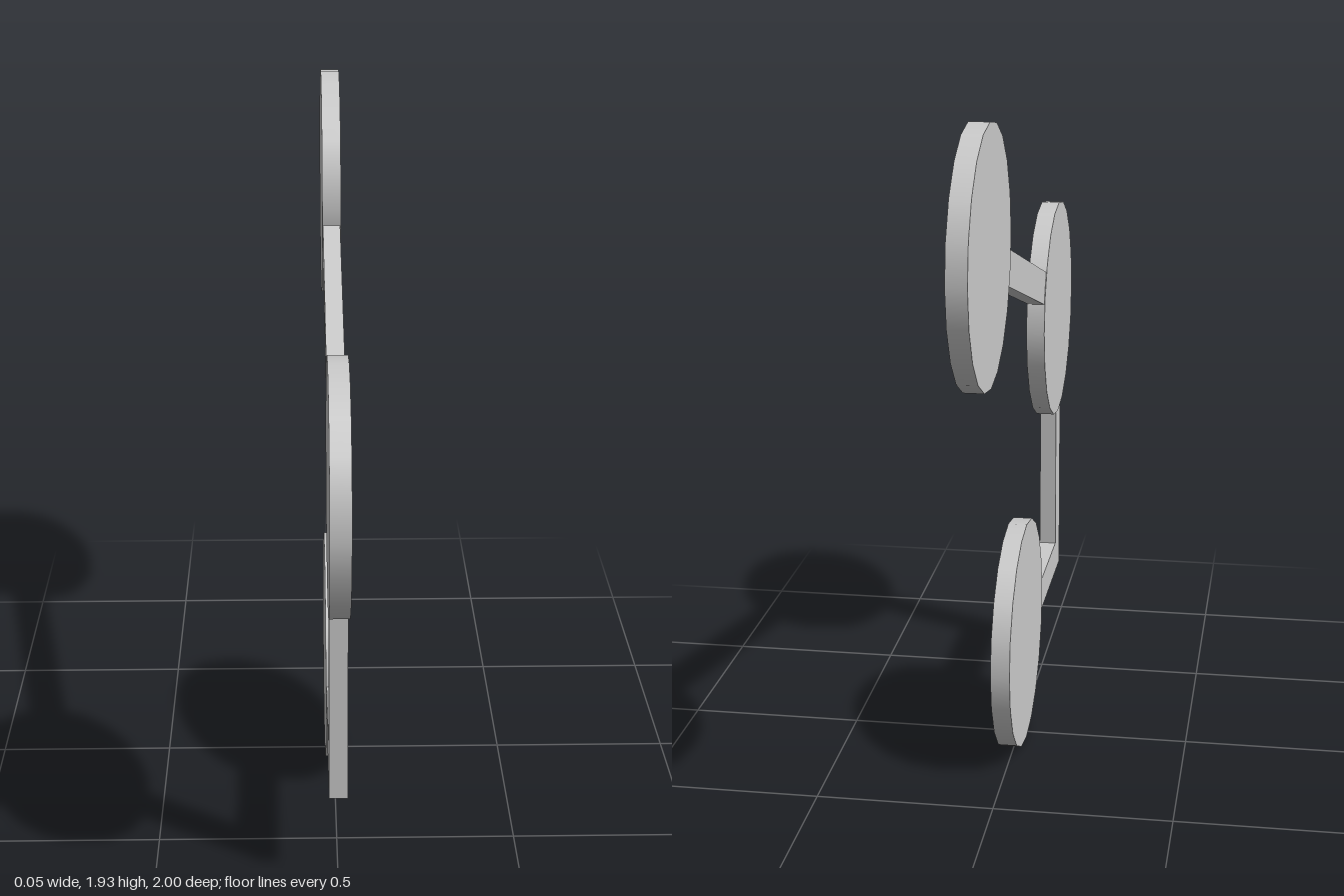
import * as THREE from 'three';

const DISC_RADIUS = 0.336, DISC_THICKNESS = 0.054, BAR_WIDTH = 0.098, BAR_THICKNESS = 0.05;

export function createModel() {
  const group = new THREE.Group();
  const material = new THREE.MeshStandardMaterial({ color: 0xcccccc });

  const add = (name, geometry, y = 0, z = 0) => {
    const mesh = new THREE.Mesh(geometry, material);
    mesh.name = name;
    mesh.position.set(0, y, z);
    group.add(mesh);
    return mesh;
  };

  // Three upright discs with their axes along x
  const disc = new THREE.CylinderGeometry(DISC_RADIUS, DISC_RADIUS, DISC_THICKNESS, 20).rotateZ(Math.PI / 2);
  add('lowerDisc', disc, 0.339, -0.034);
  add('middleDisc', disc, 1.152, 0.664);
  add('upperDisc', disc, 1.598, -0.664);

  // Sloping bar joining the middle and upper discs
  const slope = add('slopingBar', new THREE.BoxGeometry(BAR_THICKNESS, BAR_WIDTH, 0.9), 1.396, 0);
  slope.rotation.x = Math.atan(0.308);

  // L-shaped arm from the middle disc down and back to the lower disc (drawn in -z, y)
  const outline = [[-0.73, 0.277], [-0.2, 0.277], [-0.2, 0.375], [-0.63, 0.375], [-0.63, 0.9], [-0.73, 0.9]];
  const arm = new THREE.ExtrudeGeometry(
    new THREE.Shape(outline.map(([u, y]) => new THREE.Vector2(u, y))),
    { depth: BAR_THICKNESS, bevelEnabled: false }
  );
  arm.translate(0, 0, -BAR_THICKNESS / 2).rotateY(Math.PI / 2);
  add('angledArm', arm);

  return group;
}
